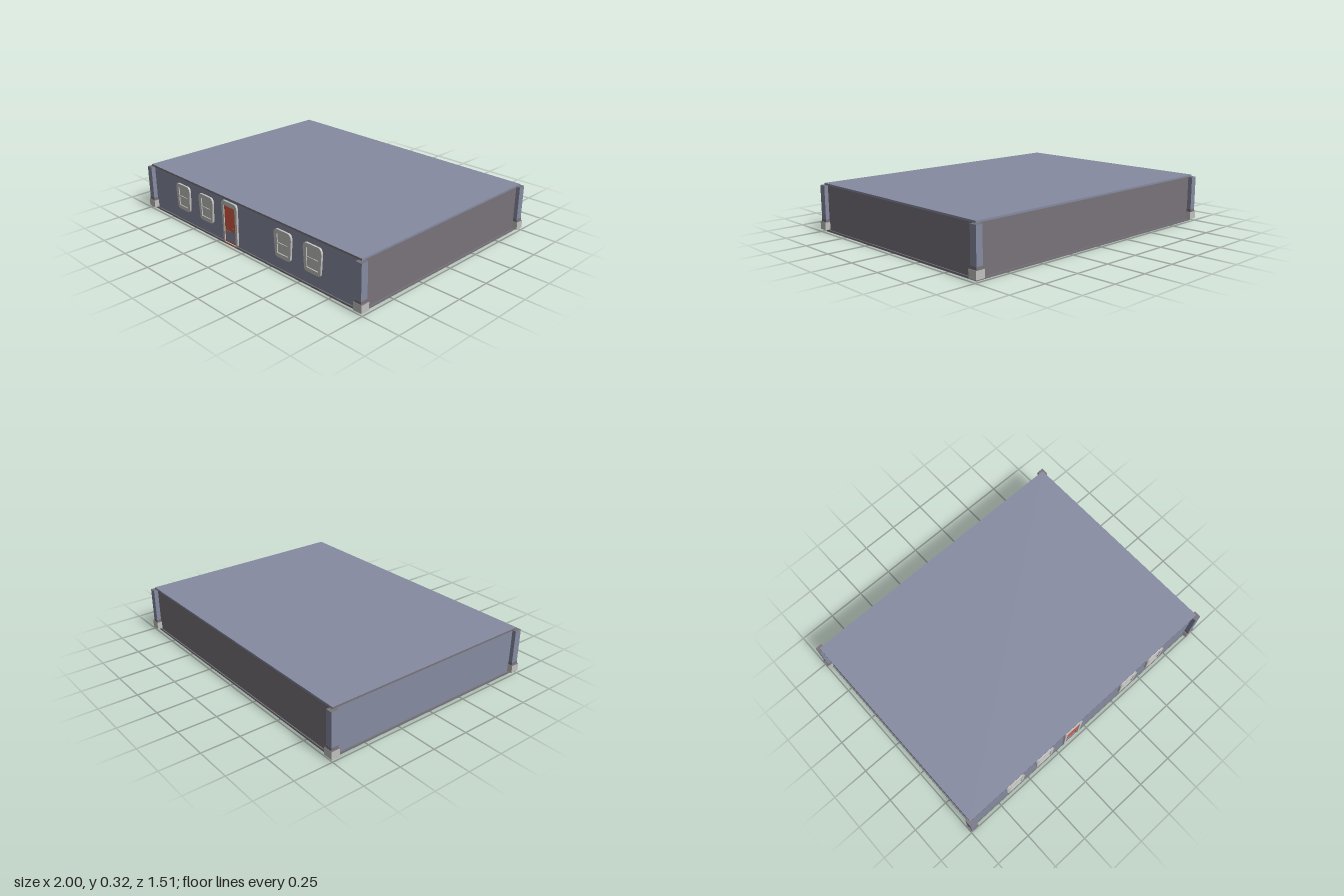
import * as THREE from 'three';

const mat = (name, color) => {
  const m = new THREE.MeshStandardMaterial({ color });
  m.name = name;
  return m;
};

export function createModel() {
  const blue = mat('slate blue', 0x868ba1);
  const grey = mat('warm grey', 0x77737a);
  const pale = mat('pale grey', 0xc0c0be);
  const red = mat('door red', 0xd25c43);
  const dark = mat('dark metal', 0x55535a);

  const model = new THREE.Group();
  model.name = 'building';

  // Box given by its limits on each axis
  const box = (name, [x0, x1], [y0, y1], [z0, z1], material, parent = model) => {
    const mesh = new THREE.Mesh(new THREE.BoxGeometry(x1 - x0, y1 - y0, z1 - z0), material);
    mesh.position.set((x0 + x1) / 2, (y0 + y1) / 2, (z0 + z1) / 2);
    mesh.name = name;
    parent.add(mesh);
    return mesh;
  };

  // Shell: face materials run +x, -x, +y, -y, +z, -z
  box('walls', [-0.965, 0.965], [0.012, 0.308], [-0.722, 0.722], [grey, blue, blue, grey, blue, grey]);
  box('roof', [-0.973, 0.973], [0.306, 0.318], [-0.729, 0.729], [blue, grey, blue, grey, grey, blue]);
  box('floorSlab', [-0.973, 0.973], [0, 0.012], [-0.729, 0.729], grey);

  // Corner posts with a grey collar and a pale foot
  for (const sx of [-1, 1]) {
    for (const sz of [-1, 1]) {
      const corner = new THREE.Group();
      corner.name = 'cornerPost';
      corner.position.set(sx * 0.969, 0, sz * 0.727);
      box('post', [-0.022, 0.022], [0.08, 0.304], [-0.024, 0.024], [blue, blue, grey, grey, blue, blue], corner);
      box('collar', [-0.023, 0.023], [0.064, 0.084], [-0.025, 0.025], grey, corner);
      box('foot', [-0.031, 0.031], [0.016, 0.066], [-0.029, 0.029], [pale, pale, grey, pale, pale, pale], corner);
      model.add(corner);
    }
  }

  // Soft, slightly tapered outline: narrower at the bottom than the top
  const outline = (w, h, r, taper) => {
    const s = new THREE.Shape();
    const t = w / 2, b = w / 2 - taper;
    s.moveTo(-b + r, 0);
    s.lineTo(b - r, 0);
    s.quadraticCurveTo(b, 0, b, r);
    s.lineTo(t, h - r * 1.8);
    s.quadraticCurveTo(t, h, t - r * 1.2, h);
    s.lineTo(-t + r * 1.2, h);
    s.quadraticCurveTo(-t, h, -t, h - r * 1.8);
    s.lineTo(-b, r);
    s.quadraticCurveTo(-b, 0, -b + r, 0);
    return s;
  };
  const hole = (x0, x1, y0, y1) => new THREE.Path([
    [x0, y0], [x0, y1], [x1, y1], [x1, y0],
  ].map(([x, y]) => new THREE.Vector2(x, y)));

  // Windows: frame, recessed pane and middle bar
  const frameShape = outline(0.148, 0.176, 0.022, 0.009);
  frameShape.holes.push(hole(-0.046, 0.046, 0.026, 0.148));
  const frameGeo = new THREE.ExtrudeGeometry(frameShape, { depth: 0.013, bevelEnabled: false, curveSegments: 5 });
  for (const x of [-0.612, -0.366, 0.362, 0.607]) {
    const win = new THREE.Group();
    win.name = 'window';
    win.position.set(x, 0.092, 0.722);
    const frame = new THREE.Mesh(frameGeo, pale);
    frame.name = 'windowFrame';
    win.add(frame);
    box('pane', [-0.047, 0.047], [0.025, 0.149], [0, 0.006], pale, win);
    box('middleBar', [-0.046, 0.046], [0.083, 0.092], [0.006, 0.011], pale, win);
    model.add(win);
  }

  // Doorway: surround, red leaf, lower blue panel and handle
  const door = new THREE.Group();
  door.name = 'door';
  door.position.set(-0.125, 0, 0.722);
  const surroundShape = outline(0.148, 0.281, 0.018, 0.006);
  surroundShape.holes.push(hole(-0.054, 0.052, 0.004, 0.25));
  const surround = new THREE.Mesh(
    new THREE.ExtrudeGeometry(surroundShape, { depth: 0.013, bevelEnabled: false, curveSegments: 5 }), pale);
  surround.name = 'doorSurround';
  surround.position.y = 0.014;
  door.add(surround);
  box('doorLeaf', [-0.054, 0.052], [0.012, 0.264], [0, 0.007], red, door);
  box('lowerPanel', [-0.044, 0.047], [0.027, 0.098], [0.007, 0.009], blue, door);
  box('threshold', [-0.054, 0.052], [0.004, 0.014], [0, 0.009], red, door);
  const handle = new THREE.Mesh(new THREE.SphereGeometry(0.006, 10, 8), dark);
  handle.name = 'handle';
  handle.position.set(0.029, 0.124, 0.011);
  door.add(handle);
  model.add(door);

  return model;
}
